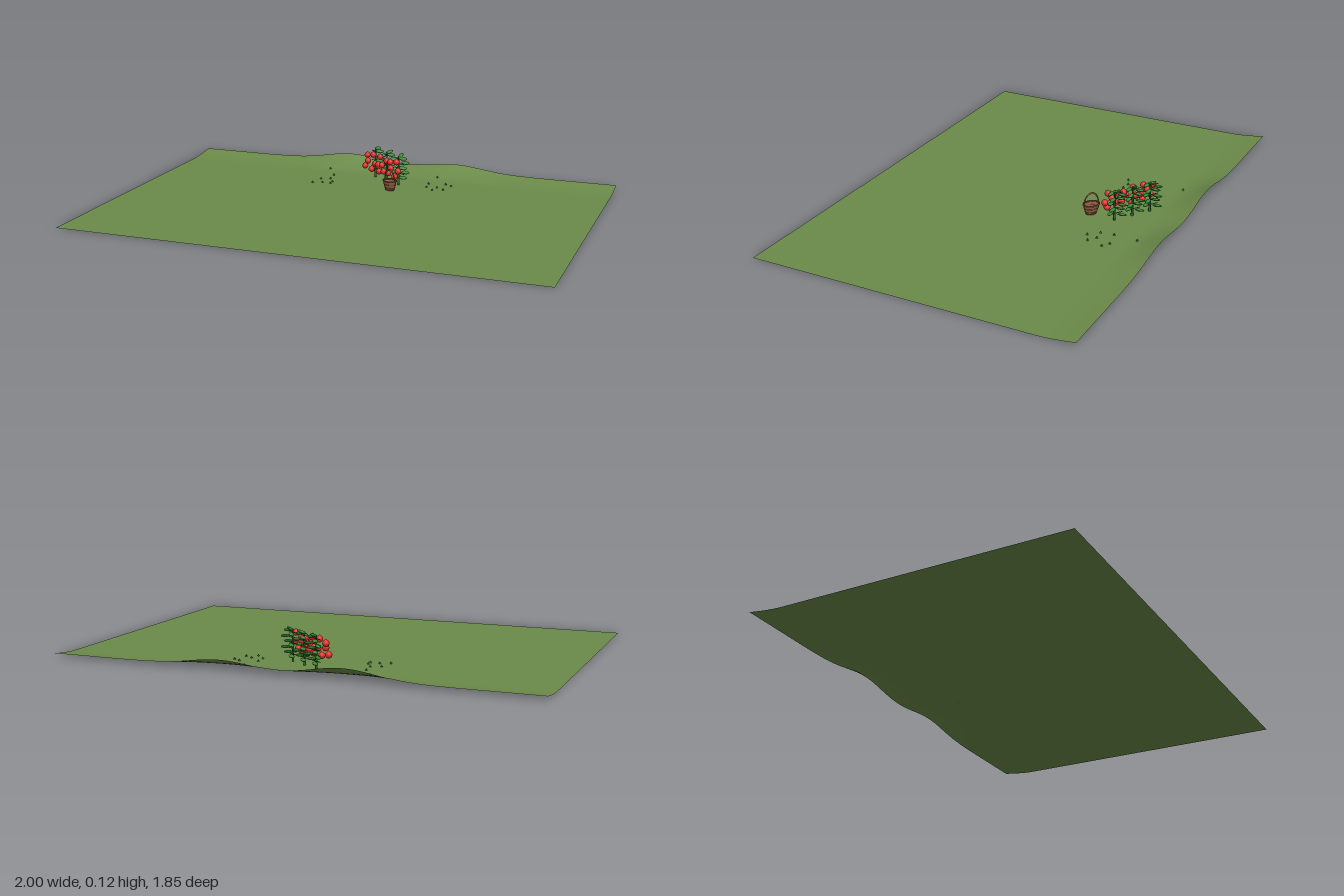
import * as THREE from 'three';

const paint = (name, color, side = THREE.FrontSide) => {
  const m = new THREE.MeshStandardMaterial({ color, side });
  m.name = name;
  return m;
};

const TURN = 0.591, WIDTH = 1.654, DEPTH = 1.123;

// flat field that curves up to a low bank with two mounds along its back edge
function groundHeight(u, v) {
  const t = THREE.MathUtils.clamp((-v - DEPTH / 2 + 0.12) / 0.12, 0, 1);
  const mound = (at, h) => h * Math.exp(-(((u - at) / 0.15) ** 2));
  return t ** 1.6 * (0.012 + mound(-0.2, 0.031) + mound(0.215, 0.025));
}

export function createModel() {
  const grass = paint('grass green', 0x6c8b4a, THREE.DoubleSide);
  const tuftGreen = paint('tuft green', 0x3f6b2e);
  const leaf = paint('leaf green', 0x3c8a35);
  const stemGreen = paint('stem green', 0x2f6428);
  const red = paint('fruit red', 0xe0302a);
  const wicker = paint('basket brown', 0x94613f, THREE.DoubleSide);
  const band = paint('basket band brown', 0x85483a);

  const model = new THREE.Group();
  model.name = 'gardenPlot';
  const add = (parent, name, geometry, material, x = 0, y = 0, z = 0) => {
    const mesh = new THREE.Mesh(geometry, material);
    mesh.name = name;
    mesh.position.set(x, y, z);
    parent.add(mesh);
    return mesh;
  };

  // ground
  const field = new THREE.PlaneGeometry(WIDTH, DEPTH, 80, 60).rotateX(-Math.PI / 2);
  const p = field.attributes.position;
  for (let i = 0; i < p.count; i++) p.setY(i, groundHeight(p.getX(i), p.getZ(i)));
  field.computeVertexNormals();
  add(model, 'ground', field, grass).rotation.y = TURN;

  // grass tufts, placed on the ground surface
  const tuft = new THREE.ConeGeometry(0.0045, 0.008, 5).translate(0, 0.0045, 0);
  const spots = [
    [-0.465, -0.24], [-0.385, -0.2], [-0.37, -0.13], [-0.35, -0.16],
    [-0.345, -0.075], [-0.325, -0.105], [-0.31, -0.14], [-0.295, -0.12],
    [-0.115, -0.485], [-0.075, -0.41], [-0.045, -0.375], [-0.03, -0.455],
    [0, -0.455], [0, -0.365], [0.02, -0.4], [-0.015, -0.4],
  ];
  for (const [x, z] of spots) {
    const u = x * Math.cos(TURN) - z * Math.sin(TURN);
    const v = x * Math.sin(TURN) + z * Math.cos(TURN);
    add(model, 'grassTuft', tuft, tuftGreen, x, groundHeight(u, v), z);
  }

  // fruit plants: leaves toward the back, staggered fruit toward the front
  const stem = new THREE.CylinderGeometry(0.0025, 0.0045, 0.108, 6);
  const twig = new THREE.CylinderGeometry(0.0015, 0.0015, 0.056, 5).rotateZ(Math.PI / 2);
  const blade = new THREE.SphereGeometry(0.016, 10, 6).scale(1, 0.3, 0.6);
  const fruit = new THREE.SphereGeometry(0.0115, 12, 8);
  const calyx = new THREE.ConeGeometry(0.005, 0.004, 5);
  const fruitSpots = [
    [-0.022, 0.045, 0.032], [0.012, 0.038, 0.028], [0.025, 0.06, 0.022],
    [-0.008, 0.066, 0.03], [-0.024, 0.084, 0.02], [0.014, 0.092, 0.021],
  ];
  [-0.275, -0.205, -0.135].forEach((x, k) => {
    const plant = new THREE.Group();
    plant.name = 'fruitPlant';
    plant.position.set(x, 0, -0.315);
    model.add(plant);
    add(plant, 'stem', stem, stemGreen, 0, 0.054, 0);
    for (let level = 0; level < 5; level++) {
      const y = 0.026 + level * 0.018;
      add(plant, 'twig', twig, stemGreen, 0, y, -0.004);
      for (const s of [-1, 1]) {
        const leafMesh = add(plant, 'leaf', blade, leaf, s * 0.019, y + 0.004 * s, -0.017 + 0.012 * ((level + (s > 0 ? 1 : 0)) % 2));
        leafMesh.rotation.set(0.4, s * 0.6, s * -0.3);
      }
    }
    add(plant, 'topLeaf', blade, leaf, 0, 0.109, -0.01).rotation.set(0.5, k, 0);
    const side = k === 1 ? -1 : 1;
    for (const [fx, fy, fz] of fruitSpots) {
      add(plant, 'fruit', fruit, red, side * fx, fy, fz);
      add(plant, 'calyx', calyx, leaf, side * fx, fy + 0.012, fz);
    }
  });

  // oval basket with rim, bands and handle
  const basket = new THREE.Group();
  basket.name = 'basket';
  basket.position.set(-0.09, 0, -0.24);
  model.add(basket);
  const profile = [[0.001, 0.003], [0.019, 0.003], [0.024, 0.018], [0.029, 0.038]];
  const bowl = new THREE.LatheGeometry(profile.map(([r, y]) => new THREE.Vector2(r, y)), 24);
  add(basket, 'bowl', bowl, wicker).scale.z = 0.75;
  for (const [r, y, t] of [[0.0225, 0.012, 0.0012], [0.0265, 0.025, 0.0012], [0.029, 0.038, 0.0028]]) {
    const ring = new THREE.TorusGeometry(r, t, 6, 24).rotateX(Math.PI / 2).scale(1, 1, 0.75);
    add(basket, 'basketBand', ring, band, 0, y, 0);
  }
  const handle = new THREE.TorusGeometry(0.028, 0.0025, 6, 20, Math.PI).scale(1, 1.4, 1);
  add(basket, 'handle', handle, wicker, 0, 0.038, 0);

  return model;
}
